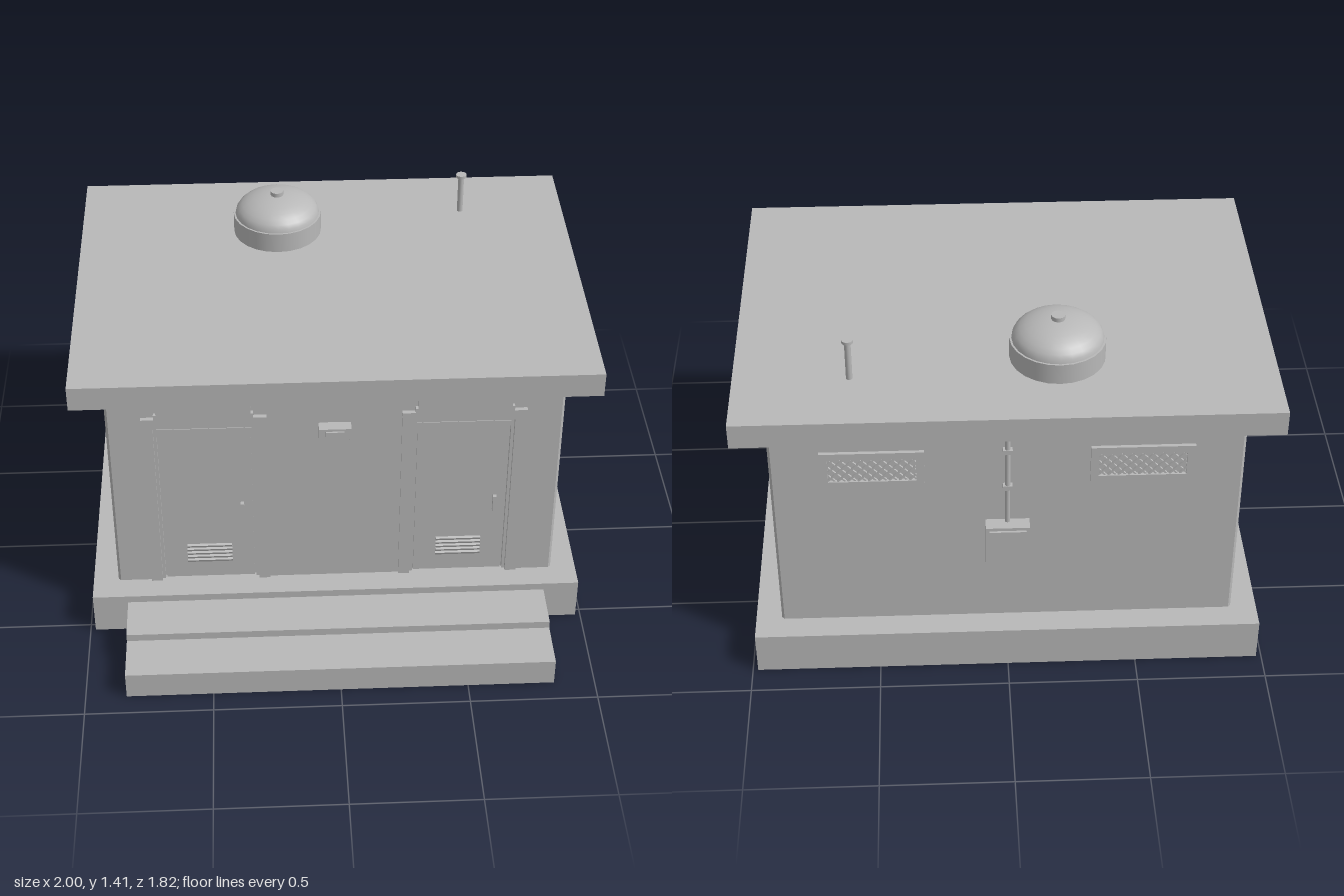
import * as THREE from 'three';

const concrete = new THREE.MeshStandardMaterial({ color: 0xb8b8b8 });
concrete.name = 'grey concrete';

function add(parent, name, geometry, x = 0, y = 0, z = 0) {
  const mesh = new THREE.Mesh(geometry, concrete);
  mesh.name = name;
  mesh.position.set(x, y, z);
  parent.add(mesh);
  return mesh;
}

// Box given by its low and high limits on each axis
function block(parent, name, [x0, x1], [y0, y1], [z0, z1]) {
  return add(parent, name, new THREE.BoxGeometry(x1 - x0, y1 - y0, z1 - z0),
    (x0 + x1) / 2, (y0 + y1) / 2, (z0 + z1) / 2);
}

function group(parent, name, x = 0, y = 0, z = 0) {
  const g = new THREE.Group();
  g.name = name;
  g.position.set(x, y, z);
  parent.add(g);
  return g;
}

const polygon = (points) => new THREE.Shape(points.map(([x, y]) => new THREE.Vector2(x, y)));
const extrude = (shape, depth) => new THREE.ExtrudeGeometry(shape, { depth, bevelEnabled: false });

const CX = -0.005, FRONT = 0.43, BACK = -0.79, SIDE = 0.88, FLOOR = 0.175, EAVES = 1.135;
const DOORS = [CX - 0.5, CX + 0.5];
const OPEN = 0.195, HEAD = 0.955, RECESS = 0.022;

// Walls: floor plan with door recesses and small chamfers, extruded upward
function addWalls(parent) {
  const c = 0.01;
  const plan = [[-SIDE + c, BACK], [SIDE - c, BACK], [SIDE, BACK + c], [SIDE, FRONT - c], [SIDE - c, FRONT]];
  for (const x of [...DOORS].reverse()) {
    plan.push([x + OPEN, FRONT], [x + OPEN, FRONT - RECESS], [x - OPEN, FRONT - RECESS], [x - OPEN, FRONT]);
  }
  plan.push([-SIDE + c, FRONT], [-SIDE, FRONT - c], [-SIDE, BACK + c]);
  const geometry = extrude(polygon(plan.map(([x, z]) => [x, -z])), EAVES - FLOOR);
  geometry.rotateX(-Math.PI / 2);
  add(parent, 'walls', geometry, 0, FLOOR, 0);
  for (const x of DOORS) {
    block(parent, 'lintel', [x - OPEN, x + OPEN], [HEAD, EAVES], [FRONT - RECESS, FRONT]);
  }
}

// Door with stepped surround, inner frame, louvre and handle
function addDoor(parent, x) {
  const door = group(parent, 'door', x, 0, FRONT);
  for (const s of [-1, 1]) {
    const side = (a, b) => (s > 0 ? [a, b] : [-b, -a]);
    block(door, 'jamb', side(OPEN, 0.24), [FLOOR, HEAD], [-0.002, 0.01]);
    block(door, 'innerFrame', side(0.183, OPEN), [FLOOR, HEAD], [-RECESS, -0.005]);
  }
  const surround = polygon([[-0.24, HEAD], [0.24, HEAD], [0.24, 1], [0.19, 1], [0.19, 1.02],
    [0.18, 1.02], [0.18, 1.085], [-0.18, 1.085], [-0.18, 1.02], [-0.19, 1.02], [-0.19, 1], [-0.24, 1]]);
  add(door, 'headSurround', extrude(surround, 0.018));
  block(door, 'headRail', [-0.183, 0.183], [0.91, 0.935], [-RECESS, -0.005]);
  block(door, 'leaf', [-0.178, 0.178], [FLOOR, 0.905], [-RECESS, -0.013]);
  for (let i = 0; i < 5; i++) {
    const slat = block(door, 'louvreSlat', [-0.09, 0.09], [0.258 + i * 0.019, 0.27 + i * 0.019], [-0.018, -0.005]);
    slat.rotation.x = 0.35;
  }
  block(door, 'handle', [0.13, 0.144], [0.485, 0.56], [-0.014, 0.004]);
}

// Vent: rectangular frame filled with a diagonal lattice
function addVent(parent, x, y, z, turn) {
  const vent = group(parent, 'vent', x, y, z);
  vent.rotation.y = turn;
  const frame = polygon([[-0.193, -0.08], [0.193, -0.08], [0.193, 0.08], [-0.193, 0.08]]);
  const w = 0.163, h = 0.052;
  frame.holes.push(new THREE.Path([[-w, -h], [-w, h], [w, h], [w, -h]].map((p) => new THREE.Vector2(...p))));
  add(vent, 'ventFrame', extrude(frame, 0.014));
  for (const s of [-1, 1]) {
    for (let i = -5; i <= 5; i++) {
      const c = i * 0.038;
      const x0 = Math.max(-w, c - h), x1 = Math.min(w, c + h);
      if (x1 - x0 < 0.01) continue;
      const bar = add(vent, 'latticeBar', new THREE.BoxGeometry((x1 - x0) * Math.SQRT2, 0.007, 0.008),
        (x0 + x1) / 2, s * ((x0 + x1) / 2 - c), 0.005 + s * 0.001);
      bar.rotation.z = s * Math.PI / 4;
    }
  }
}

// Lamp between the doors
function addLamp(parent) {
  const lamp = group(parent, 'wallLamp', CX, 0.942, FRONT);
  block(lamp, 'lampArm', [-0.03, 0.03], [-0.015, 0.012], [0, 0.03]);
  block(lamp, 'lampHead', [-0.054, 0.054], [-0.026, 0.022], [0.028, 0.06]);
  block(lamp, 'lampHood', [-0.062, 0.062], [0.022, 0.03], [0.025, 0.07]);
  for (const s of [-1, 1]) block(lamp, 'lampCheek', [s * 0.058 - 0.004, s * 0.058 + 0.004], [-0.03, 0.022], [0.025, 0.07]);
  block(lamp, 'lens', [-0.036, 0.036], [-0.012, 0.012], [0.06, 0.067]);
}

// Domed roof ventilator on a round collar
function addDome(parent) {
  const dome = group(parent, 'roofVentilator', -0.195, 1.23, -0.53);
  add(dome, 'collar', new THREE.CylinderGeometry(0.179, 0.179, 0.085, 24), 0, 0.0425, 0);
  const profile = [];
  for (let i = 0; i <= 8; i++) {
    const a = (i / 8) * Math.PI / 2;
    profile.push(new THREE.Vector2(0.172 * Math.cos(a), 0.083 + 0.085 * Math.sin(a)));
  }
  add(dome, 'domeCap', new THREE.LatheGeometry(profile, 24));
  add(dome, 'knob', new THREE.CylinderGeometry(0.026, 0.026, 0.024, 12), 0, 0.172, 0);
}

// Small vent pipe on the roof
function addRoofPipe(parent) {
  const pipe = group(parent, 'roofPipe', 0.572, 1.23, -0.643);
  add(pipe, 'pipeStem', new THREE.CylinderGeometry(0.012, 0.012, 0.165, 12), 0, 0.0825, 0);
  add(pipe, 'pipeCap', new THREE.CylinderGeometry(0.022, 0.022, 0.012, 12), 0, 0.169, 0);
}

// Electrical cabinet and conduit on the back wall
function addCabinet(parent) {
  const cabinet = group(parent, 'cabinet', 0, 0, BACK);
  block(cabinet, 'cabinetBody', [-0.083, 0.083], [0.458, 0.663], [-0.055, 0]);
  block(cabinet, 'cabinetDoor', [-0.07, 0.07], [0.472, 0.65], [-0.064, -0.054]);
  add(cabinet, 'conduit', new THREE.CylinderGeometry(0.01, 0.01, 0.475, 10), 0, 0.897, -0.011);
  for (const y of [0.83, 1.0]) block(cabinet, 'conduitClip', [-0.018, 0.018], [y - 0.01, y + 0.01], [-0.023, 0]);
}

export function createModel() {
  const model = new THREE.Group();
  model.name = 'utilityBuilding';

  // Base, steps and roof
  block(model, 'plinth', [-0.98, 0.98], [0, 0.176], [-0.89, 0.53]);
  block(model, 'upperStep', [-0.84, 0.84], [0, 0.145], [0.52, 0.72]);
  block(model, 'lowerStep', [-0.84, 0.84], [0, 0.113], [0.71, 0.912]);
  block(model, 'roofSlab', [-1, 1], [1.133, 1.232], [-0.912, 0.548]);

  addWalls(model);
  for (const x of DOORS) addDoor(model, x);
  addLamp(model);

  addVent(model, -0.5, 0.925, BACK, Math.PI);
  addVent(model, 0.5, 0.925, BACK, Math.PI);
  addVent(model, -SIDE, 0.925, -0.165, -Math.PI / 2);
  addCabinet(model);

  addDome(model);
  addRoofPipe(model);
  return model;
}
